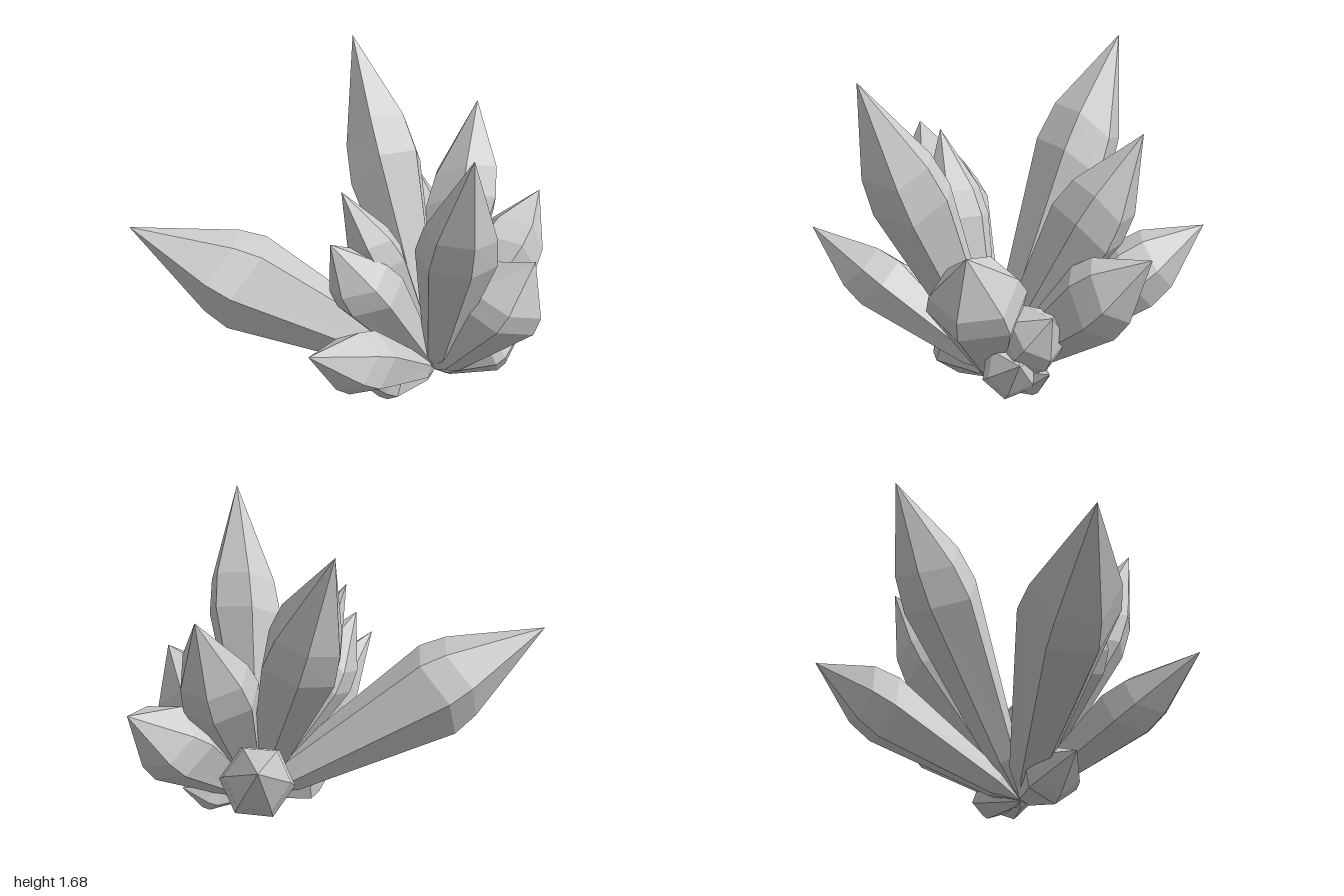
import * as THREE from 'three';

const material = new THREE.MeshStandardMaterial({ color: 0xcccccc, flatShading: true });
const ROOT = new THREE.Vector3(0.45, 0.09, 0.05);

// One six-sided crystal: blunt root, widening shaft, bevelled shoulder, pointed tip
function crystal(name, tip, radius, shoulder, roll, bevel = 0.11) {
  const axis = new THREE.Vector3(...tip).sub(ROOT);
  const length = axis.length();
  const profile = [
    [0, 0], [radius * 0.4, 0.12], [radius, shoulder - bevel / 2], [radius * 0.88, shoulder + bevel / 2], [0, 1],
  ].map(([r, t]) => new THREE.Vector2(r, t * length));
  const geometry = new THREE.LatheGeometry(profile, 6);

  // Slant the shoulder rings so the facets end at uneven heights
  const p = geometry.attributes.position;
  for (let i = 0; i < p.count; i++) {
    const x = p.getX(i), z = p.getZ(i);
    if (Math.hypot(x, z) < radius * 0.5) continue;
    const angle = Math.atan2(x, z);
    const slant = 0.02 * Math.sin(angle + roll * 3) + 0.025 * Math.sin(angle * 2 + roll * 5);
    p.setY(i, p.getY(i) + slant * length);
  }
  geometry.computeVertexNormals();

  const mesh = new THREE.Mesh(geometry, material);
  mesh.name = name;
  mesh.position.copy(ROOT);
  mesh.quaternion.setFromUnitVectors(new THREE.Vector3(0, 1, 0), axis.normalize());
  mesh.rotateY(roll);
  return mesh;
}

export function createModel() {
  const group = new THREE.Group();
  group.name = 'crystalCluster';

  // name, tip, radius, shoulder height along the shaft, roll, bevel length
  const crystals = [
    // Large outer crystals
    ['longSideCrystal', [-1, 1, 0.51], 0.25, 0.685, 0.3, 0.08],
    ['tallBackCrystal', [-0.13, 1.67, -0.56], 0.21, 0.67, 0.2],
    ['tallFrontCrystal', [0.7, 1.61, 0.66], 0.2, 0.66, 0.5],
    ['middleBackCrystal', [0.52, 1.33, -0.65], 0.2, 0.68, 0.1],
    ['lowBackCrystal', [0.13, 0.76, -0.99], 0.185, 0.69, 0.7],
    ['backCornerCrystal', [0.87, 0.83, -0.68], 0.2, 0.7, 0.4],
    ['bluntSideCrystal', [0.95, 0.86, 0.16], 0.24, 0.69, 0.15],
    ['lowFrontCrystal', [0.02, 0.7, 0.99], 0.165, 0.64, 0.6],
    // Inner crystals
    ['innerUpperCrystal', [0.02, 1.22, 0.33], 0.15, 0.68, 0.35],
    ['innerFrontCrystal', [0, 1.01, 0.48], 0.18, 0.7, 0.8],
    // Short stubs around the foot
    ['frontFootStub', [0.06, 0.21, 0.36], 0.16, 0.57, 0.25],
    ['upperSideStub', [0.86, 0.54, -0.23], 0.17, 0.72, 0.1],
    ['middleSideStub', [0.88, 0.31, -0.08], 0.145, 0.66, 0.55],
    ['lowerSideStub', [0.77, 0.22, -0.22], 0.11, 0.65, 0.3],
  ];
  for (const spec of crystals) group.add(crystal(...spec));
  return group;
}
